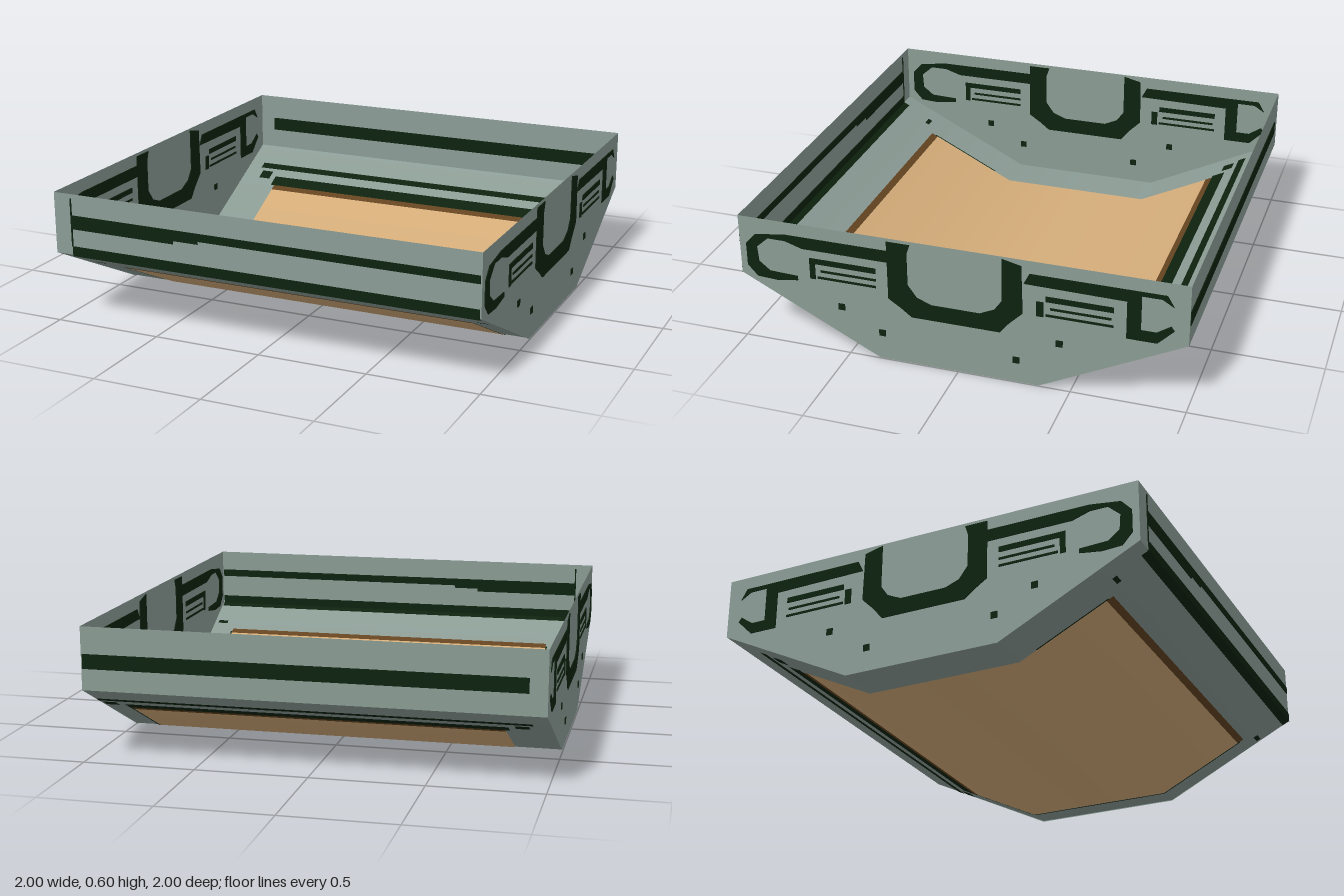
import * as THREE from 'three';

const paint = (name, color) => {
  const m = new THREE.MeshStandardMaterial({ color, side: THREE.DoubleSide });
  m.name = name;
  return m;
};

export function createModel() {
  const body = paint('greyGreen', 0x8b9c95);
  const dark = paint('darkGreen', 0x0d220e);
  const tan = paint('tan', 0xd4ac79);
  const brown = paint('brown', 0x644420);
  const group = new THREE.Group();
  const W = 0.996, T = 0.004, FLAT = 0.36, RIM = 0.6, EDGE = 0.32;

  const add = (name, geometry, material) => {
    const mesh = new THREE.Mesh(geometry, material);
    mesh.name = name;
    group.add(mesh);
    return mesh;
  };

  // Floor height and smooth floor slope at a given z
  const floorY = z => T + Math.max(0, Math.abs(z) - FLAT) * (EDGE - T) / (W - FLAT);
  const lean = z => {
    const a = Math.abs(z);
    const k = a < FLAT ? 0.237 * a / FLAT : 0.237 + 0.263 * (a - FLAT) / (1 - FLAT);
    return -Math.sign(z) * k;
  };

  // Sheet following the folded floor, raised by an offset
  function floorSheet(x0, x1, z0, z1, offset) {
    const zs = [z0, ...[-FLAT, 0, FLAT].filter(z => z > z0 && z < z1), z1];
    const pos = [], nor = [], idx = [];
    zs.forEach((z, i) => {
      const n = new THREE.Vector3(0, 1, lean(z)).normalize();
      for (const x of [x0, x1]) {
        pos.push(x, floorY(z) + offset, z);
        nor.push(n.x, n.y, n.z);
      }
      if (i) {
        const a = 2 * i - 2;
        idx.push(a, a + 2, a + 1, a + 1, a + 2, a + 3);
      }
    });
    const g = new THREE.BufferGeometry();
    g.setAttribute('position', new THREE.Float32BufferAttribute(pos, 3));
    g.setAttribute('normal', new THREE.Float32BufferAttribute(nor, 3));
    g.setIndex(idx);
    return g;
  }
  // Paint on both faces of the floor
  const floorPaint = (name, x0, x1, z0, z1, material, lift = T) => {
    for (const s of [1, -1]) add(name, floorSheet(x0, x1, z0, z1, s * lift), material);
  };

  // Floor and its painted panel
  add('floor', floorSheet(-W, W, -W, W, 0), body);
  floorPaint('floorPanel', -0.79, 0.88, -0.7, 0.765, tan, 0.003);
  floorPaint('frontPanelEdge', -0.79, 0.88, 0.76, 0.79, brown);
  floorPaint('backPanelEdge', -0.79, 0.88, -0.72, -0.69, brown);
  floorPaint('backPanelBand', -0.81, 0.89, -0.78, -0.72, dark);
  floorPaint('rightPanelLine', 0.88, 0.887, -0.72, 0.77, dark);
  floorPaint('leftPanelLine', -0.797, -0.79, 0.44, 0.77, dark);
  floorPaint('frontFloorStripe', -0.91, 0.99, 0.965, W, dark);
  floorPaint('backFloorStripe', -0.92, 0.99, -0.865, -0.83, dark);
  for (const x of [-0.87, 0.95]) {
    floorPaint('frontSpot', x - 0.025, x + 0.025, 0.83, 0.85, dark);
    floorPaint('backSpot', x - 0.03, x + 0.03, -0.81, -0.76, dark);
  }

  // Front and back walls
  for (const s of [1, -1]) {
    const g = new THREE.PlaneGeometry(2 * W, RIM - EDGE);
    if (s < 0) g.rotateY(Math.PI);
    g.translate(0, (RIM + EDGE) / 2, s * W);
    add(s > 0 ? 'frontWall' : 'backWall', g, body);
  }
  const wallStripe = (name, x0, x1, y0, y1, s) => {
    const g = new THREE.BoxGeometry(x1 - x0, y1 - y0, 2 * T);
    add(name, g.translate((x0 + x1) / 2, (y0 + y1) / 2, s * W), dark);
  };
  wallStripe('frontUpperStripe', -0.91, 0.99, 0.468, 0.503, 1);
  wallStripe('frontStripeStep', -0.91, -0.4, 0.44, 0.468, 1);
  wallStripe('frontStripeStep', -0.4, -0.28, 0.455, 0.468, 1);
  wallStripe('frontLowerStripe', -0.91, 0.99, 0.315, 0.36, 1);
  wallStripe('frontEndLine', -0.914, -0.908, 0.36, 0.58, 1);
  wallStripe('backStripe', -0.92, 0.99, 0.415, 0.48, -1);

  // Side markings, as outlines in hundredths of z and y
  const rect = (z0, z1, y0, y1) => [[z0, y0], [z1, y0], [z1, y1], [z0, y1]];
  const dot = (z, y) => rect(z - 1.5, z + 1.5, y - 1.5, y + 1.5);
  const markings = {
    sideChannel: [[31, 58.5], [20.5, 58.5], [22, 54], [22, 39], [18, 33.5], [11.5, 31], [-10, 31],
      [-16.5, 34], [-20, 39], [-20, 59], [-28.5, 57], [-29, 34.5], [-26, 31.5], [-23, 28.5],
      [-19, 23.5], [20.5, 23.5], [25, 27], [31, 31]],
    frontHook: [[31, 54], [78, 54], [92, 52], [96.5, 47], [96.5, 36.5], [92, 31.5], [83, 31],
      [73, 32.5], [73, 34.5], [86, 35], [91, 39], [91.5, 46], [86, 51], [78, 51], [70, 48.5], [31, 48.5]],
    backHook: [[-29.5, 49], [-32, 54], [-90, 54], [-93, 49], [-88, 52], [-79.5, 52], [-79.5, 36],
      [-86, 36], [-92, 40], [-93.5, 38], [-86.5, 31], [-73.5, 31], [-73.5, 48.5]],
    frontBoxTop: rect(36.5, 67, 42, 44.5),
    frontBoxEnd: rect(64.5, 67, 34.5, 42),
    frontBoxMiddleLine: rect(36.5, 62, 38.3, 39.3),
    frontBoxLowerLine: rect(36.5, 63.5, 35, 36),
    backBoxTop: rect(-68, -39, 42, 44.5),
    backBoxEnd: rect(-38, -35, 34.5, 41.5),
    backBoxMiddleLine: rect(-67, -41, 38.3, 39.3),
    backBoxLowerLine: rect(-68, -39, 35, 36),
    frontUpperDot: dot(53, 22.7),
    frontLowerDot: dot(34.5, 13),
    backUpperDot: dot(-45, 22.7),
    backLowerDot: dot(-26, 11),
  };
  const outline = pts => new THREE.Shape(pts.map(([z, y]) => new THREE.Vector2(z / 100, y / 100)));
  const wallOutline = outline([[W * 100, 60], [W * 100, 32], [36, 0], [-36, 0], [-W * 100, 32], [-W * 100, 60]]);

  // Side walls with markings showing on both faces
  for (const s of [1, -1]) {
    const side = s > 0 ? 'left' : 'right';
    const wall = new THREE.ShapeGeometry(wallOutline).rotateY(s * Math.PI / 2);
    add(side + 'Wall', wall.translate(s * W, 0, 0), body);
    for (const [name, pts] of Object.entries(markings)) {
      const g = new THREE.ExtrudeGeometry(outline(pts), { depth: 2 * T, bevelEnabled: false });
      g.rotateY(-Math.PI / 2).translate(s * W + T, 0, 0);
      add(side + name[0].toUpperCase() + name.slice(1), g, dark);
    }
  }
  return group;
}
